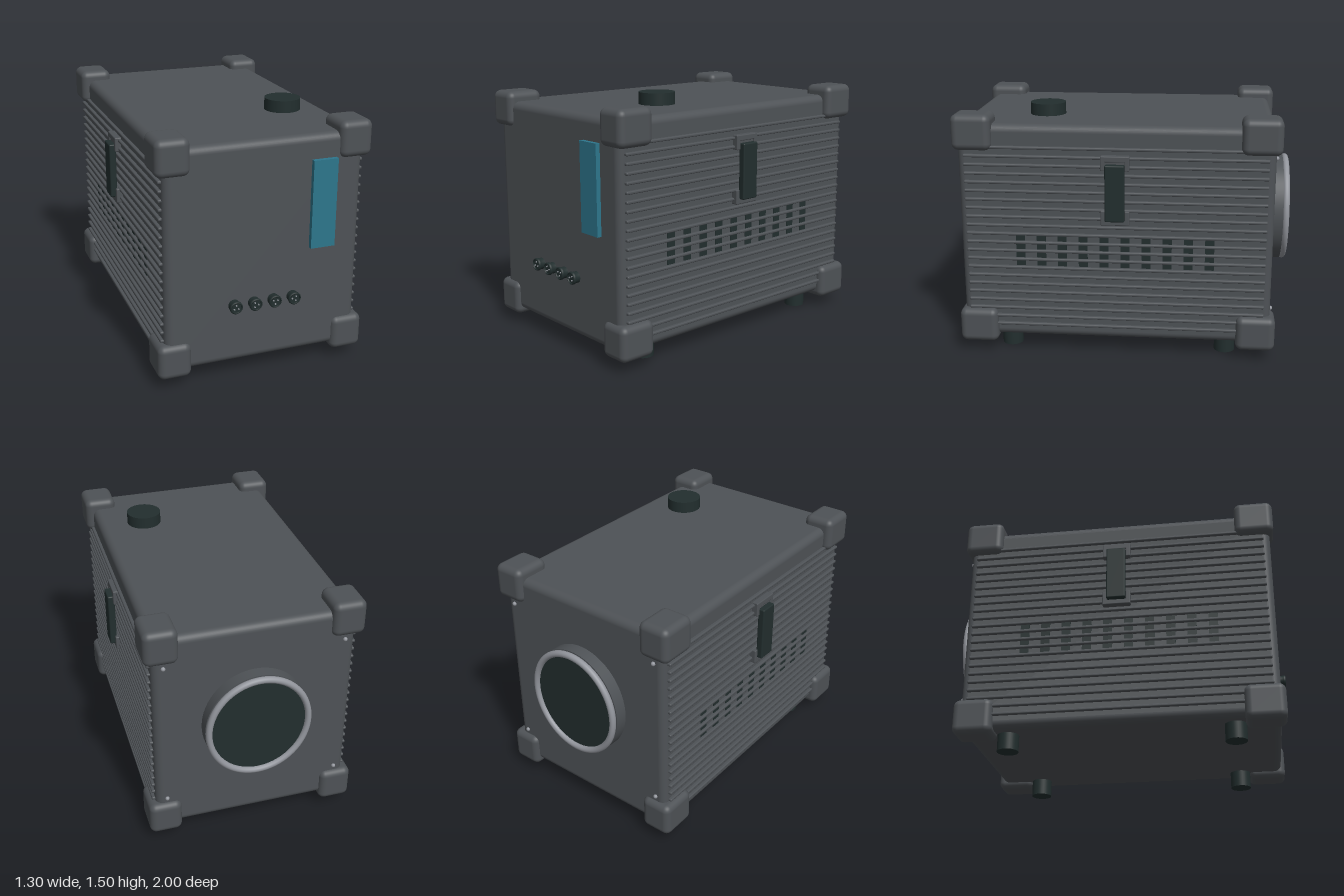
import * as THREE from 'three';
import { RoundedBoxGeometry } from 'three/addons/geometries/RoundedBoxGeometry.js';

const material = (name, color) => {
  const m = new THREE.MeshStandardMaterial({ color });
  m.name = name;
  return m;
};

export function createModel() {
  const casing = material('casing grey', 0x4e5256);
  const rubber = material('dark rubber', 0x222e2e);
  const display = material('teal display', 0x2d768c);
  const metal = material('light metal', 0x92959c);

  const model = new THREE.Group();
  model.name = 'deviceBox';

  const add = (name, geometry, mat, x, y, z, parent = model) => {
    const mesh = new THREE.Mesh(geometry, mat);
    mesh.name = name;
    mesh.position.set(x, y, z);
    parent.add(mesh);
    return mesh;
  };
  const box = (w, h, d) => new THREE.BoxGeometry(w, h, d);
  const rounded = (w, h, d, r, s = 3) => new RoundedBoxGeometry(w, h, d, s, r);
  const disc = (r, h, sides = 40) => new THREE.CylinderGeometry(r, r, h, sides);
  const discZ = (r, h, sides = 40) => disc(r, h, sides).rotateX(Math.PI / 2);

  // Main casing
  add('casing', rounded(1.168, 1.31, 1.845, 0.045, 4), casing, 0, 0.755, 0.0325);

  // Corner bumpers
  const bumper = rounded(0.195, 0.21, 0.232, 0.04, 4);
  for (const x of [-0.532, 0.532])
    for (const y of [0.17, 1.364])
      for (const z of [-0.805, 0.864]) add('cornerBumper', bumper, casing, x, y, z);

  // Feet
  const foot = disc(0.063, 0.12, 32);
  for (const x of [-0.447, 0.447])
    for (const z of [-0.627, 0.692]) add('foot', foot, rubber, x, 0.06, z);

  // Side walls: cooling ribs, vent slots and carrying handle
  const rib = rounded(0.04, 0.018, 1.77, 0.007, 2);
  const slot = box(0.008, 0.194, 0.054);
  for (const side of [-1, 1]) {
    const wall = new THREE.Group();
    wall.name = side > 0 ? 'leftWall' : 'rightWall';
    model.add(wall);
    for (let i = 0; i < 22; i++) {
      add('coolingRib', rib, casing, side * 0.583, 0.182 + i * 0.0522, 0.033, wall);
    }
    for (let i = 0; i < 10; i++) {
      add('ventSlot', slot, rubber, side * 0.584, 0.656, 0.596 - i * 0.1243, wall);
    }
    // Each bracket is a plate with two cheeks and an end stop around the grip
    for (const [y, end] of [[1.2, 1], [0.874, -1]]) {
      add('handleBracket', rounded(0.035, 0.088, 0.168, 0.008, 2), casing, side * 0.596, y, 0.03, wall);
      for (const dz of [-0.07, 0.07]) {
        add('bracketCheek', rounded(0.025, 0.088, 0.028, 0.006, 2), casing, side * 0.61, y, 0.03 + dz, wall);
      }
      add('bracketStop', rounded(0.025, 0.035, 0.168, 0.006, 2), casing, side * 0.61, y + end * 0.026, 0.03, wall);
    }
    add('handleGrip', rounded(0.042, 0.336, 0.114, 0.008, 2), rubber, side * 0.631, 1.028, 0.03, wall);
  }

  // Top knob
  add('topKnob', disc(0.105, 0.07, 48), rubber, 0.308, 1.464, 0.457);

  // Front display
  add('display', box(0.148, 0.52, 0.03), display, 0.345, 1.01, 0.967);

  // Front connectors: sleeve with knurled collar, recessed face and three pins
  const sleeveProfile = [[0.029, 0.036], [0.029, 0.045], [0.034, 0.045], [0.038, 0.04], [0.038, 0.03],
    [0.034, 0.026], [0.034, 0]].map(([r, h]) => new THREE.Vector2(r, h)).reverse();
  const sleeve = new THREE.LatheGeometry(sleeveProfile, 28).rotateX(Math.PI / 2);
  for (let i = 0; i < 4; i++) {
    const socket = new THREE.Group();
    socket.name = 'connector';
    socket.position.set(-0.18 + i * 0.1187, 0.462, 0.955);
    model.add(socket);
    add('connectorSleeve', sleeve, rubber, 0, 0, 0, socket);
    add('connectorFace', discZ(0.03, 0.036, 24), rubber, 0, 0, 0.02, socket);
    for (let k = 0; k < 3; k++) {
      const a = Math.PI / 2 + i * 0.5 + (k * Math.PI * 2) / 3;
      add('connectorPin', discZ(0.0045, 0.008, 8), metal, Math.cos(a) * 0.015, Math.sin(a) * 0.015, 0.04, socket);
    }
  }

  // Rear port: slightly oval barrel, metal rim and dark cover
  const port = new THREE.Group();
  port.name = 'rearPort';
  port.position.set(0, 0.797, 0);
  port.scale.x = 0.93;
  model.add(port);
  add('portBarrel', discZ(0.333, 0.08, 64), casing, 0, 0, -0.923, port);
  add('portRim', new THREE.TorusGeometry(0.314, 0.02, 14, 72), metal, 0, 0, -0.98, port);
  add('portCover', discZ(0.305, 0.022, 64), rubber, 0, 0, -0.967, port);

  // Rear screws
  const screw = new THREE.SphereGeometry(0.013, 12, 8);
  for (const x of [-0.52, 0.52])
    for (const y of [0.308, 1.228]) add('rearScrew', screw, metal, x, y, -0.893);

  return model;
}
